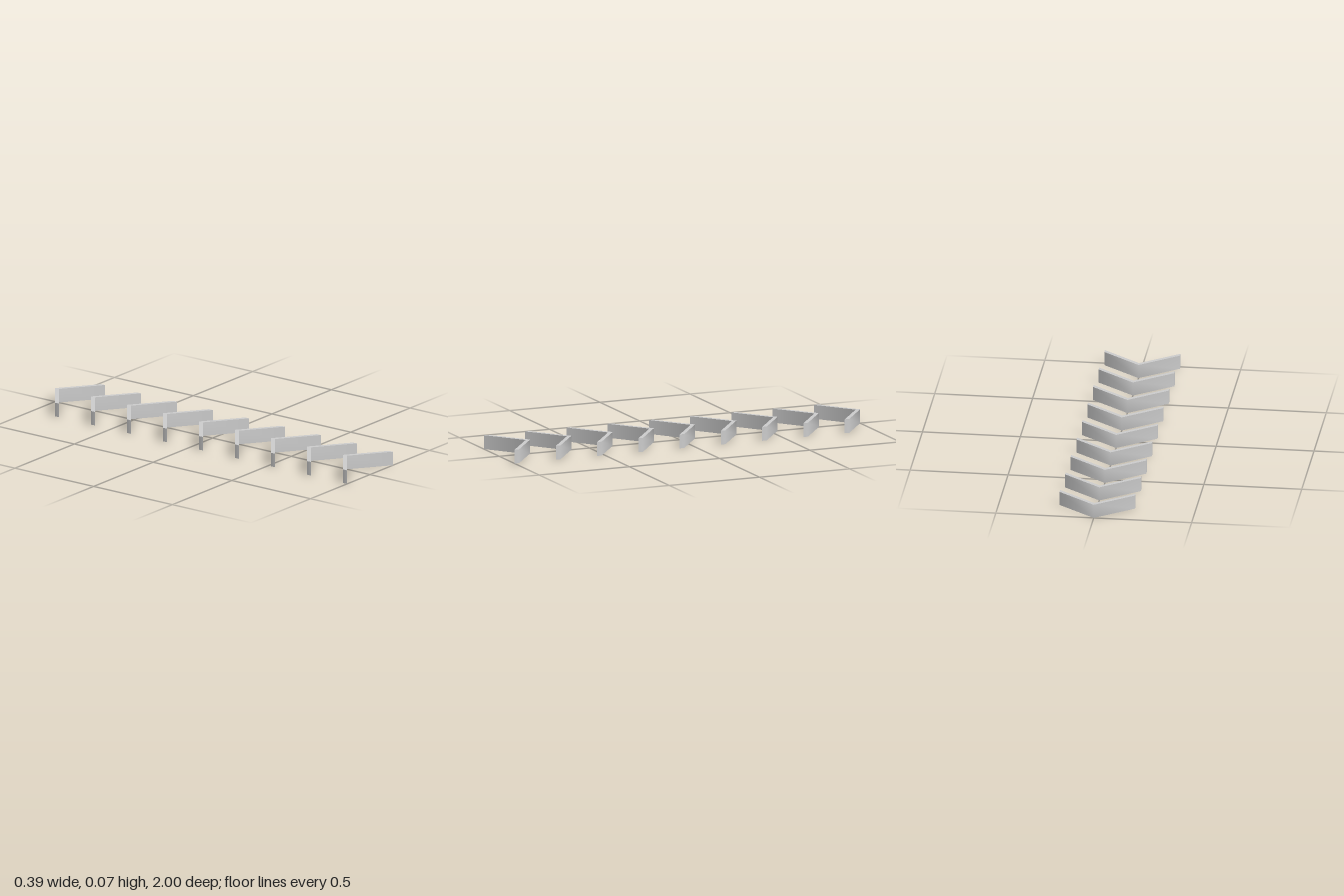
import * as THREE from 'three';
import { toCreasedNormals } from 'three/addons/utils/BufferGeometryUtils.js';

const COUNT = 9;
const HALF_WIDTH = 0.193;
const DEPTH = 0.171;      // apex to arm tip, along z
const THICKNESS = 0.025;  // wall thickness measured along z
const HEIGHT = 0.072;

// V-shaped plan, apex toward the back, arm tips cut parallel to z
function chevronGeometry() {
  const h = DEPTH / 2;
  const plan = new THREE.Shape([
    [0, h],
    [-HALF_WIDTH, -h + THICKNESS],
    [-HALF_WIDTH, -h],
    [0, h - THICKNESS],
    [HALF_WIDTH, -h],
    [HALF_WIDTH, -h + THICKNESS],
  ].map(([x, y]) => new THREE.Vector2(x, y)));
  const geometry = new THREE.ExtrudeGeometry(plan, { depth: HEIGHT, bevelEnabled: false });
  geometry.rotateX(-Math.PI / 2);
  // soft fold, sharp top and bottom rims
  return toCreasedNormals(geometry, 1.4);
}

export function createModel() {
  const model = new THREE.Group();
  model.name = 'chevronRow';
  const geometry = chevronGeometry();
  const material = new THREE.MeshStandardMaterial({ color: 0xcccccc });
  const pitch = (2 - DEPTH) / (COUNT - 1);

  // evenly spaced row along z
  for (let i = 0; i < COUNT; i++) {
    const chevron = new THREE.Mesh(geometry, material);
    chevron.name = `chevron${i + 1}`;
    chevron.position.z = (i - (COUNT - 1) / 2) * pitch;
    model.add(chevron);
  }
  return model;
}
